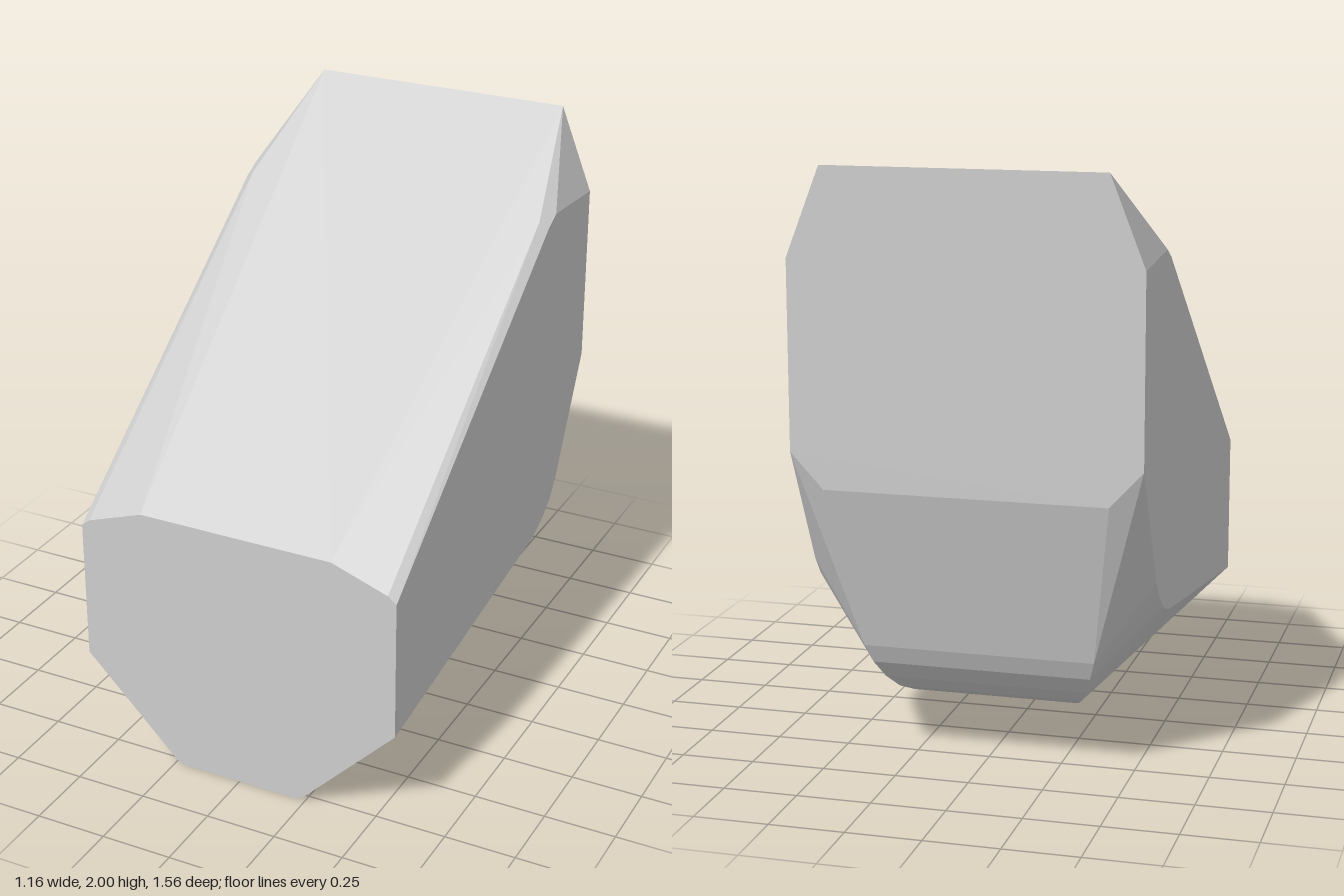
import * as THREE from 'three';
import { ConvexGeometry } from 'three/addons/geometries/ConvexGeometry.js';

// Half outlines as [x, y, z]; every point is mirrored to -x
const frontFace = [
  [0.22, 0, 0.78], [0.245, 0.015, 0.78], [0.58, 0.355, 0.78],
  [0.58, 0.85, 0.78], [0.55, 0.875, 0.78], [0.35, 0.945, 0.78],
];
const backFace = [
  [0.465, 2, -0.78], [0.58, 1.705, -0.78], [0.58, 1.08, -0.78], [0.47, 0.96, -0.78],
];
// Upper bevel between the sloping top and the flat side
const topBevel = [[0.55, 1.722, -0.385], [0.58, 1.7, -0.4], [0.58, 1.73, -0.46]];
// Rounded heel: lower edge of the flat side
const sideHeel = [
  [0.58, 0.515, -0.33], [0.58, 0.532, -0.4], [0.58, 0.56, -0.46],
  [0.58, 0.605, -0.52], [0.58, 0.67, -0.57],
];
// Rounded heel: edge of the underside, widening as it climbs
const underHeel = [
  [0.27, 0.17, -0.34], [0.285, 0.187, -0.42], [0.315, 0.22, -0.49],
  [0.345, 0.272, -0.55], [0.37, 0.335, -0.6], [0.39, 0.4, -0.63],
];

export function createModel() {
  const group = new THREE.Group();
  group.name = 'facetedBlock';

  const grey = new THREE.MeshStandardMaterial({ color: 0xcccccc });
  grey.name = 'light grey';

  const points = [frontFace, backFace, topBevel, sideHeel, underHeel].flat()
    .flatMap(([x, y, z]) => [new THREE.Vector3(x, y, z), new THREE.Vector3(-x, y, z)]);

  // Solid body wrapped around the outlines, with flat facets
  const body = new THREE.Mesh(new ConvexGeometry(points), grey);
  body.name = 'body';
  group.add(body);
  return group;
}
